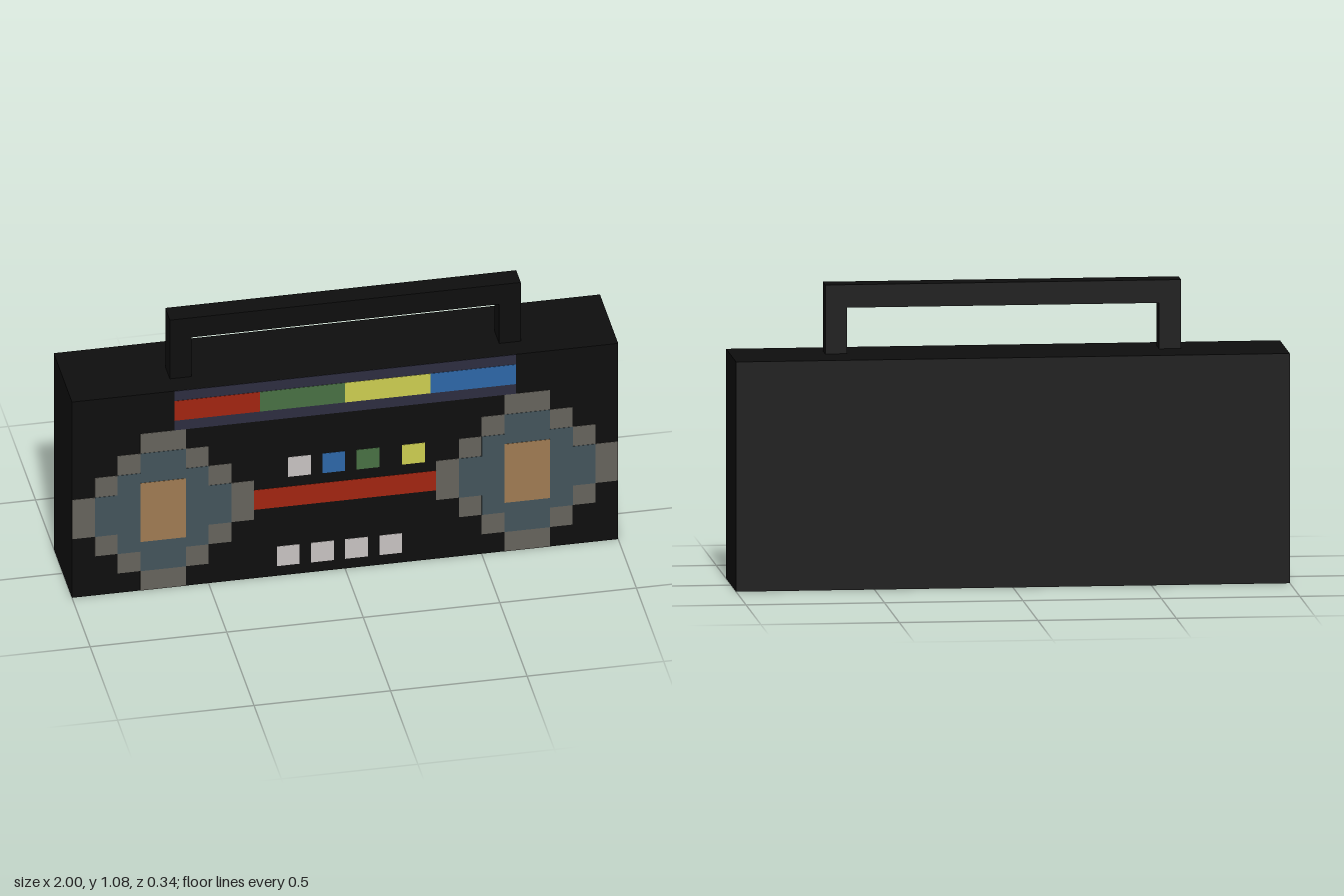
import * as THREE from 'three';

const U = 1 / 12; // one block of the grid
const FRONT = 2 * U; // z of the front face

function material(name, color) {
  const m = new THREE.MeshStandardMaterial({ color });
  m.name = name;
  return m;
}

export function createModel() {
  const mats = {
    black: material('black casing', 0x0d0d0d),
    navy: material('dark navy', 0x2c2c3f),
    red: material('red', 0xa02410),
    green: material('green', 0x476f42),
    yellow: material('yellow', 0xcacb4f),
    blue: material('blue', 0x2c66a6),
    white: material('off white', 0xc6c1c0),
    grey: material('warm grey', 0x65625b),
    teal: material('slate teal', 0x43535a),
    tan: material('tan', 0x9e7a52),
  };
  const group = new THREE.Group();
  group.name = 'portableStereo';

  function add(name, geometry, mat, parent = group) {
    const mesh = new THREE.Mesh(geometry, mat);
    mesh.name = name;
    parent.add(mesh);
    return mesh;
  }

  // Box given by its limits, in blocks
  function block(name, mat, x0, x1, y0, y1, z0, z1) {
    const g = new THREE.BoxGeometry((x1 - x0) * U, (y1 - y0) * U, (z1 - z0) * U);
    g.translate((x0 + x1) * U / 2, (y0 + y1) * U / 2, (z0 + z1) * U / 2);
    return add(name, g, mat);
  }

  // Thin painted plate on the front, raised by its layer number
  function plate(name, mat, x0, x1, y0, y1, layer = 1, parent = group) {
    const t = 0.0012 * layer;
    const g = new THREE.BoxGeometry((x1 - x0) * U, (y1 - y0) * U, t);
    g.translate((x0 + x1) * U / 2, (y0 + y1) * U / 2, FRONT + t / 2);
    return add(name, g, mat, parent);
  }

  // Stepped round outline, n blocks in radius
  function steppedDisc(n) {
    const quarter = [];
    for (let i = 0; i < n; i++) quarter.push([n - i, i + 1], [n - i - 1 || 1, i + 1]);
    quarter.pop();
    const back = quarter.slice().reverse();
    const points = [
      ...quarter,
      ...back.map(([x, y]) => [-x, y]),
      ...quarter.map(([x, y]) => [-x, -y]),
      ...back.map(([x, y]) => [x, -y]),
    ];
    return new THREE.Shape(points.map(([x, y]) => new THREE.Vector2(x * U, y * U)));
  }

  // Casing
  block('body', mats.black, -12, 12, 0, 10, -2, 2);

  // Carrying handle, set slightly off centre
  block('handleLegRight', mats.black, -7.5, -6.55, 10, 12, 0, 1);
  block('handleLegLeft', mats.black, 6.97, 7.92, 10, 12, 0, 1);
  block('handleBar', mats.black, -7.5, 7.92, 12, 13, 0, 1);

  // Tuner strip with four coloured bands
  plate('tunerPanel', mats.navy, -7.5, 7.5, 8, 10);
  ['red', 'green', 'yellow', 'blue'].forEach((c, i) => {
    const x = -7.5 + i * 3.75;
    plate('tunerBand' + (i + 1), mats[c], x, x + 3.75, 8.5, 9.5, 2);
  });

  // Speakers: stepped rim and cone with a rectangular centre
  for (const [name, side] of [['speakerRight', -1], ['speakerLeft', 1]]) {
    const speaker = new THREE.Group();
    speaker.name = name;
    group.add(speaker);
    [['speakerRim', mats.grey, 4], ['speakerCone', mats.teal, 3]].forEach(([part, mat, n], i) => {
      const g = new THREE.ExtrudeGeometry(steppedDisc(n), { depth: 0.0012 * (i + 1), bevelEnabled: false });
      g.translate(side * 8 * U, 4 * U, FRONT);
      add(part, g, mat, speaker);
    });
    plate('speakerCentre', mats.tan, side * 8 - 1, side * 8 + 1, 2.5, 5.5, 3, speaker);
  }

  // Bar between the speakers
  plate('middleBar', mats.red, -4, 4, 3.5, 4.5);

  // Upper and lower rows of buttons
  [['white', -2.5], ['blue', -1], ['green', 0.5], ['yellow', 2.5]].forEach(([c, x], i) =>
    plate('upperButton' + (i + 1), mats[c], x, x + 1, 5, 6));
  [-3, -1.5, 0, 1.5].forEach((x, i) =>
    plate('lowerButton' + (i + 1), mats.white, x, x + 1, 0.5, 1.5));

  return group;
}
